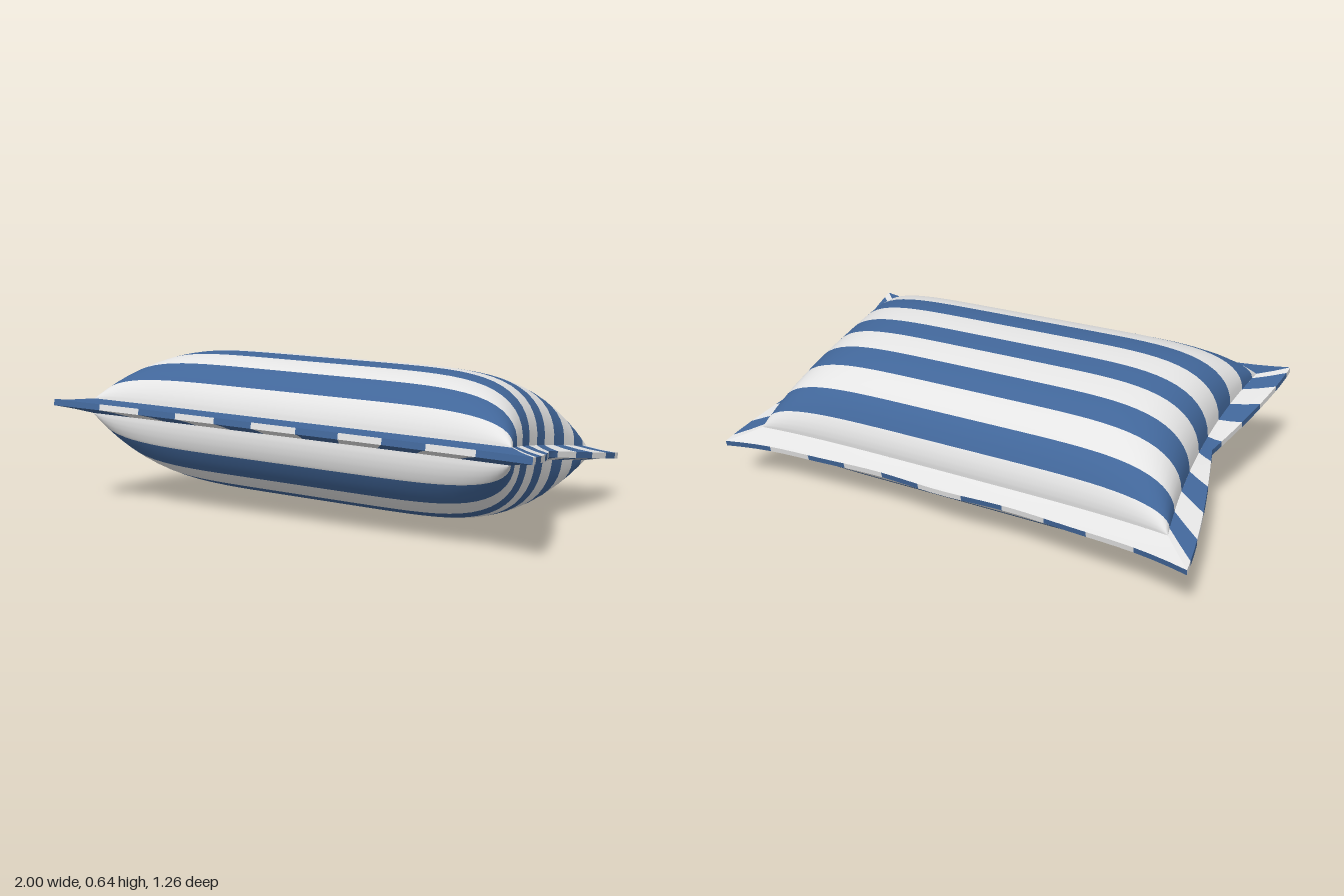
import * as THREE from 'three';

const blue = new THREE.MeshStandardMaterial({ color: 0x416699 });
blue.name = 'stripe blue';
const white = new THREE.MeshStandardMaterial({ color: 0xe4e4e4 });
white.name = 'cotton white';

// Smooth grid surface over parameter lists A and B; isBlue(a) colours each strip between A values.
function gridMesh(name, A, B, point, isBlue, flip) {
  const pos = [], n = B.length, sets = [[], []];
  for (const a of A) for (const b of B) pos.push(...point(a, b));
  for (let i = 0; i < A.length - 1; i++) {
    const out = sets[isBlue((A[i] + A[i + 1]) / 2) ? 1 : 0];
    for (let j = 0; j < n - 1; j++) {
      const p = i * n + j, q = p + n;
      if (flip) out.push(p, q + 1, q, p, p + 1, q + 1);
      else out.push(p, q, q + 1, p, q + 1, p + 1);
    }
  }
  const g = new THREE.BufferGeometry();
  g.setAttribute('position', new THREE.Float32BufferAttribute(pos, 3));
  g.setIndex([...sets[0], ...sets[1]]);
  g.addGroup(0, sets[0].length, 0);
  g.addGroup(sets[0].length, sets[1].length, 1);
  g.computeVertexNormals();
  const mesh = new THREE.Mesh(g, [white, blue]);
  mesh.name = name;
  return mesh;
}

// Mirrored list of stations from -1 to 1, with each interval subdivided.
function stations(half, steps) {
  const all = [...half.map(v => -v).reverse(), ...half], out = [all[0]];
  for (let i = 1; i < all.length; i++)
    for (let k = 1; k <= steps; k++) out.push(all[i - 1] + (all[i] - all[i - 1]) * k / steps);
  return out;
}

const between = (v, ranges) => ranges.some(([a, b]) => Math.abs(v) > a && Math.abs(v) < b);
const stripe = v => between(v, [[-1, 0.1], [0.325, 0.545], [0.76, 0.93]]);
const block = u => between(u, [[0.095, 0.265], [0.44, 0.61], [0.795, 1]]);

// Plan of the padded body, and the wavy outer edges of the flange
const NECK = 0.03;
const bodyPlan = (u, v) => [u * (0.84 + 0.05 * v * v), v * (0.495 + 0.02 * u ** 4)];
const sideEdge = (s, v) => [s * (0.875 + 0.125 * (1 - (1 - Math.abs(v)) ** 1.4)), 0.63 * v];
const longEdge = (s, u) =>
  [u, s * (0.574 + 0.056 * u ** 4 + 0.005 * Math.cos(u * Math.PI / 0.3) * (1 - u * u))];

export function createModel() {
  const model = new THREE.Group();
  model.name = 'cushion';

  // Padded body halves
  const V = stations([0.1, 0.325, 0.545, 0.76, 0.93, 0.965, 0.985, 0.996, 1], 3);
  const U = Array.from({ length: 41 }, (_, i) => Math.sin((i / 20 - 1) * Math.PI / 2));
  for (const s of [1, -1]) {
    const point = (v, u) => {
      const [x, z] = bodyPlan(u, v);
      const f = Math.max(0, 1 - u ** 6) ** 0.45;
      const g = Math.max(0, 1 - Math.abs(v) ** 2.4) ** 0.5;
      return [x, s * (NECK + 0.266 * f * g), z];
    };
    model.add(gridMesh(s > 0 ? 'upperPad' : 'lowerPad', V, U, point, stripe, s < 0));
  }

  // Flange faces as sections of [outward fraction, height]
  const sections = {
    Top: [[0, NECK], [0.5, 0.019], [1, 0.012]],
    Rim: [[1, 0.012], [1, -0.012]],
    Bottom: [[1, -0.012], [0.5, -0.019], [0, -NECK]],
  };
  const sideV = stations([0.1, 0.325, 0.545, 0.76, 0.93, 1], 2);
  const longU = stations([0.095, 0.265, 0.44, 0.61, 0.795, 1], 3);
  for (const [face, section] of Object.entries(sections)) {
    for (const s of [1, -1]) {
      const span = (inner, outer, [t, h]) =>
        [inner[0] + (outer[0] - inner[0]) * t, h, inner[1] + (outer[1] - inner[1]) * t];
      // Short sides carry on the body stripes
      model.add(gridMesh((s > 0 ? 'left' : 'right') + 'Flange' + face, sideV, section,
        (v, p) => span(bodyPlan(s, v), sideEdge(s, v), p), stripe, s < 0));
      // Long sides are plain on top and blocked beneath
      model.add(gridMesh((s > 0 ? 'front' : 'back') + 'Flange' + face, longU, section,
        (u, p) => span(bodyPlan(u, s), longEdge(s, u), p),
        face === 'Top' ? () => s > 0 : block, s > 0));
    }
  }

  // The cushion rests tilted, front edge raised
  model.rotation.set(-0.165, 0, -0.026);
  model.position.y = 0.305;
  return model;
}
